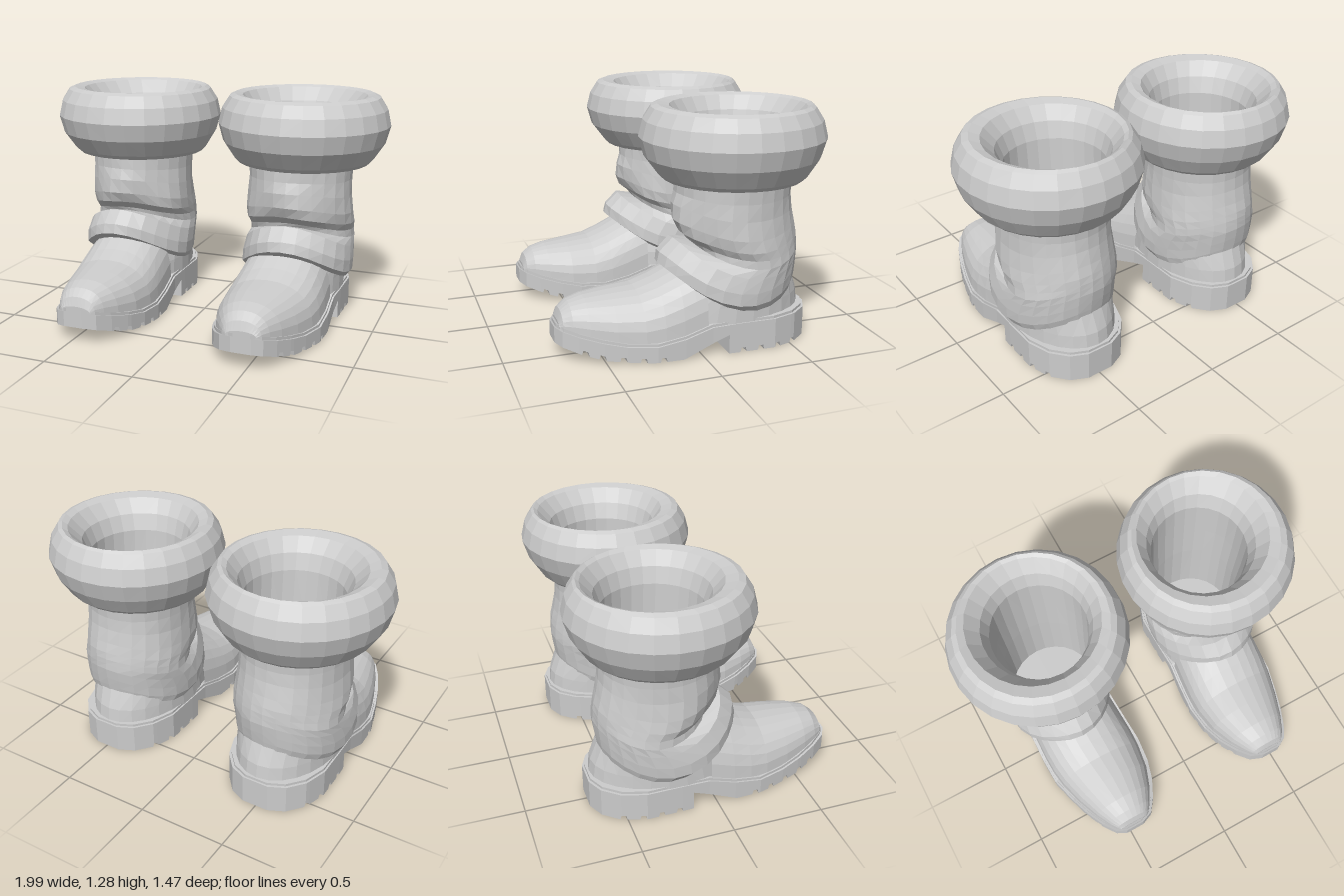
import * as THREE from 'three';

const leather = new THREE.MeshStandardMaterial({ color: 0xcccccc });
leather.name = 'lightGrey';
const SEG = 26;

// Skin a series of rings with faceted quads, optionally closing both ends
function loft(rings, { closed = true, capStart = false, capEnd = false } = {}) {
  const n = rings[0].length, idx = [];
  for (let i = 0; i < rings.length - 1; i++) {
    for (let j = 0; j < (closed ? n : n - 1); j++) {
      const k = (j + 1) % n;
      const a = i * n + j, b = i * n + k, c = b + n, d = a + n;
      idx.push(a, b, c, a, c, d);
    }
  }
  const last = (rings.length - 1) * n;
  for (let j = 1; j < n - 1; j++) {
    if (capStart) idx.push(0, j + 1, j);
    if (capEnd) idx.push(last, last + j, last + j + 1);
  }
  const g = new THREE.BufferGeometry();
  g.setAttribute('position', new THREE.Float32BufferAttribute(rings.flat(2), 3));
  g.setIndex(idx);
  return g;
}

// Oval ring whose height differs at front, sides and back
function ring(yf, ys, yb, zf, zb, w, cx = 0.5, wrinkle = 0, phase = 0) {
  const pts = [];
  for (let j = 0; j < SEG; j++) {
    const t = (j / SEG) * Math.PI * 2, c = Math.cos(t), s = Math.sin(t);
    const k = 1 + wrinkle * Math.sin(5 * t + phase) * (0.4 + 0.6 * Math.max(0, c + 0.4));
    pts.push([
      cx + w * s * k,
      ys + ((yf - yb) / 2) * c + ((yf + yb) / 2 - ys) * c * c,
      (zf + zb) / 2 + ((zf - zb) / 2) * c * k,
    ]);
  }
  return pts;
}
const level = (y, zf, zb, w, cx) => ring(y, y, y, zf, zb, w, cx);

// Linear lookup in rows sorted by falling z
function look(rows, z, col) {
  let i = 0;
  while (i < rows.length - 2 && z < rows[i + 1][0]) i++;
  const [a, b] = [rows[i], rows[i + 1]];
  return THREE.MathUtils.lerp(a[col], b[col], THREE.MathUtils.clamp((z - a[0]) / (b[0] - a[0]), 0, 1));
}

// Sole outline: z, inner x, outer x, top y
const OUTLINE = [
  [0.735, 0.42, 0.53, 0.175], [0.705, 0.35, 0.585, 0.165], [0.63, 0.295, 0.635, 0.142],
  [0.52, 0.24, 0.685, 0.115], [0.4, 0.205, 0.725, 0.093], [0.25, 0.19, 0.765, 0.088],
  [0.1, 0.2, 0.77, 0.112], [-0.05, 0.212, 0.765, 0.155], [-0.2, 0.208, 0.772, 0.162],
  [-0.4, 0.208, 0.775, 0.162], [-0.53, 0.255, 0.735, 0.162], [-0.62, 0.33, 0.66, 0.162],
  [-0.662, 0.42, 0.57, 0.162],
];
// Underside: z, y (forefoot and arch), the heel block is flat
const UNDER = [[0.735, 0.09], [0.6, 0.045], [0.5, 0.02], [0.3, 0.004], [0.11, 0.004], [-0.14, 0.105]];
const GROOVES = [0.6, 0.52, 0.42, 0.32, 0.22, -0.22, -0.32, -0.42, -0.52];

function soleGeometry() {
  const stations = OUTLINE.map((r) => [r[0], 0]);
  stations.push([0.11, 0], [-0.1399, 0], [-0.1401, 0]);
  for (const g of GROOVES) stations.push([g + 0.018, 0], [g + 0.012, 0.024], [g - 0.012, 0.024], [g - 0.018, 0]);
  stations.sort((a, b) => b[0] - a[0]);
  // keep outline stations from filling a groove
  const kept = stations.filter(([z, d]) => d || !GROOVES.some((g) => Math.abs(z - g) < 0.015));
  const rings = kept.map(([z, d]) => {
    const x0 = look(OUTLINE, z, 1), x1 = look(OUTLINE, z, 2), top = look(OUTLINE, z, 3);
    const bot = (z < -0.14 ? 0 : look(UNDER, z, 1)) + d;
    return [[x0, top, z], [x1, top, z], [x1, bot, z], [x0, bot, z]];
  });
  return loft(rings, { capStart: true, capEnd: true });
}

// Thin welt just inside the sole edge
function weltGeometry() {
  const rings = OUTLINE.map(([z, x0, x1, y]) => {
    const zz = 0.036 + (z - 0.036) * 0.985;
    return [[x0 + 0.01, y + 0.014, zz], [x1 - 0.01, y + 0.014, zz], [x1 - 0.01, y - 0.01, zz], [x0 + 0.01, y - 0.01, zz]];
  });
  return loft(rings, { capStart: true, capEnd: true });
}

// Rounded toe and instep: z, top y
function footGeometry() {
  const rows = [[0.712, 0.2], [0.695, 0.25], [0.65, 0.287], [0.57, 0.308], [0.44, 0.322], [0.3, 0.336],
    [0.2, 0.372], [0.1, 0.42], [0.03, 0.45], [-0.03, 0.47]];
  const rings = rows.map(([z, top]) => {
    const x0 = look(OUTLINE, z, 1) + 0.018, x1 = look(OUTLINE, z, 2) - 0.018;
    const base = look(OUTLINE, z, 3), pts = [];
    for (let j = 0; j <= 14; j++) {
      const t = (j / 14) * Math.PI, c = Math.cos(t);
      pts.push([
        (x0 + x1) / 2 - ((x1 - x0) / 2) * Math.sign(c) * Math.abs(c) ** 0.9,
        base + (top - base) * Math.sin(t) ** 0.8,
        z,
      ]);
    }
    return pts;
  });
  return loft(rings, { closed: false, capStart: true });
}

// Heel counter below the lowest fold
const ankleGeometry = () => loft([
  level(0.15, 0.2, -0.645, 0.278, 0.49), level(0.25, 0.17, -0.632, 0.275, 0.49),
  level(0.36, 0.08, -0.59, 0.275, 0.495), level(0.46, -0.01, -0.58, 0.28, 0.5),
]);

// Slouched shaft: front y, side y, back y, front z, back z, half width, centre x, wrinkle
function shaftGeometry() {
  const rows = [
    [0.4, 0.245, 0.34, 0.05, -0.575, 0.27, 0.5, 0],
    [0.415, 0.235, 0.345, 0.11, -0.59, 0.295, 0.502, 0],
    [0.455, 0.27, 0.385, 0.165, -0.598, 0.317, 0.505, 0.01],
    [0.51, 0.335, 0.44, 0.155, -0.605, 0.32, 0.505, 0.012],
    [0.58, 0.41, 0.5, 0.085, -0.61, 0.314, 0.503, 0.015],
    [0.555, 0.455, 0.535, -0.01, -0.607, 0.306, 0.502, 0.01],
    [0.575, 0.5, 0.565, 0.0, -0.605, 0.303, 0.5, 0.015],
    [0.62, 0.545, 0.605, 0.05, -0.6, 0.308, 0.5, 0.025],
    [0.68, 0.61, 0.66, 0.073, -0.588, 0.305, 0.5, 0.025],
    [0.76, 0.71, 0.74, 0.072, -0.572, 0.297, 0.5, 0.02],
    [0.82, 0.8, 0.81, 0.058, -0.565, 0.295, 0.5, 0.01],
    [0.92, 0.92, 0.92, 0.055, -0.57, 0.3, 0.5, 0],
  ];
  return loft(rows.map((r, i) => ring(...r, i * 0.9)));
}

// Padded cuff: y, front z, back z, half width, centre x
const cuffGeometry = () => loft([
  [0.89, 0.04, -0.56, 0.29, 0.5], [0.892, 0.125, -0.62, 0.375, 0.51], [0.915, 0.15, -0.645, 0.4, 0.51],
  [1.01, 0.222, -0.705, 0.46, 0.512], [1.11, 0.25, -0.735, 0.487, 0.512], [1.2, 0.227, -0.712, 0.467, 0.512],
  [1.265, 0.185, -0.67, 0.425, 0.512], [1.278, 0.15, -0.655, 0.395, 0.51], [1.265, 0.085, -0.635, 0.355, 0.505],
  [1.19, 0.03, -0.57, 0.295, 0.495], [1.1, 0, -0.54, 0.265, 0.49],
].map((r) => level(...r)));

// Inner wall and footbed
const liningGeometry = () => loft([
  [1.1, 0, -0.54, 0.265, 0.49], [0.85, -0.02, -0.535, 0.262, 0.49],
  [0.6, -0.045, -0.53, 0.255, 0.49], [0.2, -0.045, -0.53, 0.25, 0.49],
].map((r) => level(...r)), { capEnd: true });

const PARTS = {
  sole: soleGeometry, welt: weltGeometry, toeAndInstep: footGeometry, heelCounter: ankleGeometry,
  shaft: shaftGeometry, cuff: cuffGeometry, lining: liningGeometry,
};

function buildBoot(name, mirrored) {
  const boot = new THREE.Group();
  boot.name = name;
  for (const [part, make] of Object.entries(PARTS)) {
    let g = make();
    if (mirrored) {
      g.scale(-1, 1, 1);
      g.setIndex([...g.index.array].reverse());
    }
    g = g.toNonIndexed();
    g.computeVertexNormals();
    const mesh = new THREE.Mesh(g, leather);
    mesh.name = part;
    boot.add(mesh);
  }
  return boot;
}

export function createModel() {
  const model = new THREE.Group();
  model.name = 'pairOfBoots';
  model.add(buildBoot('leftBoot', false), buildBoot('rightBoot', true));
  return model;
}
